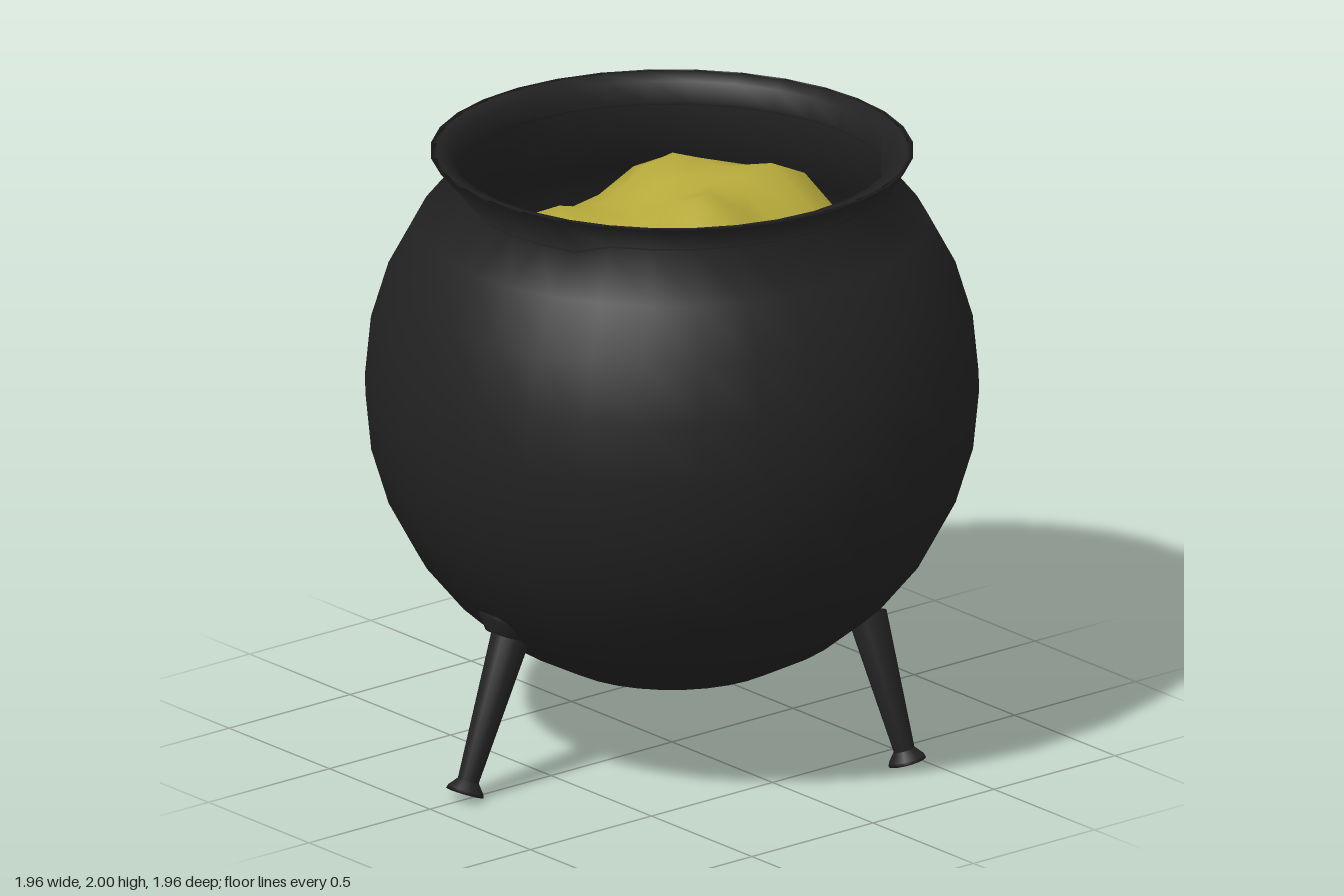
import * as THREE from 'three';
import { mergeVertices } from 'three/addons/utils/BufferGeometryUtils.js';

const IRON = new THREE.MeshStandardMaterial({ color: 0x222222, side: THREE.DoubleSide });
const GOLD = new THREE.MeshStandardMaterial({ color: 0xb5a83a, side: THREE.DoubleSide });
const R = 0.98, CY = 1.217;

// Weld seams so the shading runs smoothly all the way round
function weld(geo) {
  geo.deleteAttribute('uv');
  geo.deleteAttribute('normal');
  const welded = mergeVertices(geo, 1e-4);
  welded.computeVertexNormals();
  return welded;
}

function named(name, geo, material) {
  const mesh = new THREE.Mesh(geo, material);
  mesh.name = name;
  return mesh;
}

function lathe(pts, sides) {
  return new THREE.LatheGeometry(pts.map(([r, y]) => new THREE.Vector2(r, y)), sides);
}

// Worn dents at the neck: direction and half width in radians, drop in height
const dents = [
  { angle: 0.1, width: 0.34, drop: 0.045 },
  { angle: 2.5, width: 0.17, drop: 0.08 },
];

// Round belly, neck, flared rim, lip and inner wall as one smooth shell
function pot() {
  const profile = [];
  for (let i = 0; i <= 12; i++) {
    const t = i * Math.PI / 16;
    profile.push([R * Math.sin(t), CY - R * Math.cos(t)]);
  }
  profile.push([0.77, 2], [0.75, 2], [0.7, 1.985], [0.695, 1.91], [0.7, 1.7], [0.84, 1.65], [0.86, 1.48]);
  const geo = lathe(profile, 32);
  const p = geo.attributes.position;
  for (let i = 0; i < p.count; i++) {
    const x = p.getX(i), y = p.getY(i), z = p.getZ(i);
    if (y < 1.9 || y > 1.95) continue;
    const dent = dents.find(d => Math.abs(Math.atan2(x, z) - d.angle) < d.width);
    if (dent) p.setXYZ(i, x * 0.96, y - dent.drop, z * 0.96);
  }
  return named('potShell', weld(geo), IRON);
}

// Tapered leg with a flared foot, set along a line from foot to top
function leg(name, foot, top, collar) {
  const a = new THREE.Vector3(...foot), b = new THREE.Vector3(...top);
  const len = a.distanceTo(b);
  const g = new THREE.Group();
  g.name = name;
  g.add(named('legShaft', lathe([[0.034, 0.03], [0.064, len], [0, len]], 16), IRON));
  g.add(named('legFoot', lathe([[0, 0.012], [0.062, -0.004], [0.058, 0.008], [0.034, 0.038]], 16), IRON));
  if (collar) {
    const ring = lathe([[0.064, len - 0.02], [0.1, len + 0.025], [0.1, len + 0.05], [0.075, len + 0.075], [0, len + 0.085]], 16);
    ring.translate(0, 0, 0.025);
    g.add(named('legCollar', ring, IRON));
  }
  g.position.copy(a);
  g.quaternion.setFromUnitVectors(new THREE.Vector3(0, 1, 0), b.sub(a).normalize());
  return g;
}

// Lumpy heap: a coarse polar grid raised by mounds [x, z, height, spread]
const mounds = [
  [-0.26, -0.18, 0.2, 0.15], [0.07, -0.42, 0.23, 0.14], [0.18, 0, 0.17, 0.14],
  [-0.27, 0.3, 0.15, 0.16], [0.35, 0.38, 0.06, 0.14], [-0.05, -0.15, 0.08, 0.15],
];
function heap() {
  const geo = new THREE.RingGeometry(0.00001, 0.85, 18, 7);
  geo.rotateX(-Math.PI / 2);
  const p = geo.attributes.position;
  for (let i = 0; i < p.count; i++) {
    const x = p.getX(i), z = p.getZ(i);
    let y = 1.5 + 0.18 * (1 - (x * x + z * z) / 0.72);
    for (const [mx, mz, h, w] of mounds) {
      y += h * Math.exp(-((x - mx) ** 2 + (z - mz) ** 2) / (2 * w * w));
    }
    p.setY(i, y);
  }
  return named('goldHeap', weld(geo), GOLD);
}

export function createModel() {
  const model = new THREE.Group();
  model.name = 'cauldron';
  model.add(pot(), heap());

  // Three splayed legs
  model.add(leg('frontLeg', [0, 0.03, 0.855], [0, 0.53, 0.66], true));
  model.add(leg('leftLeg', [0.67, 0.03, -0.415], [0.545, 0.5, -0.355], false));
  model.add(leg('rightLeg', [-0.775, 0.03, -0.315], [-0.615, 0.52, -0.25], false));
  return model;
}
